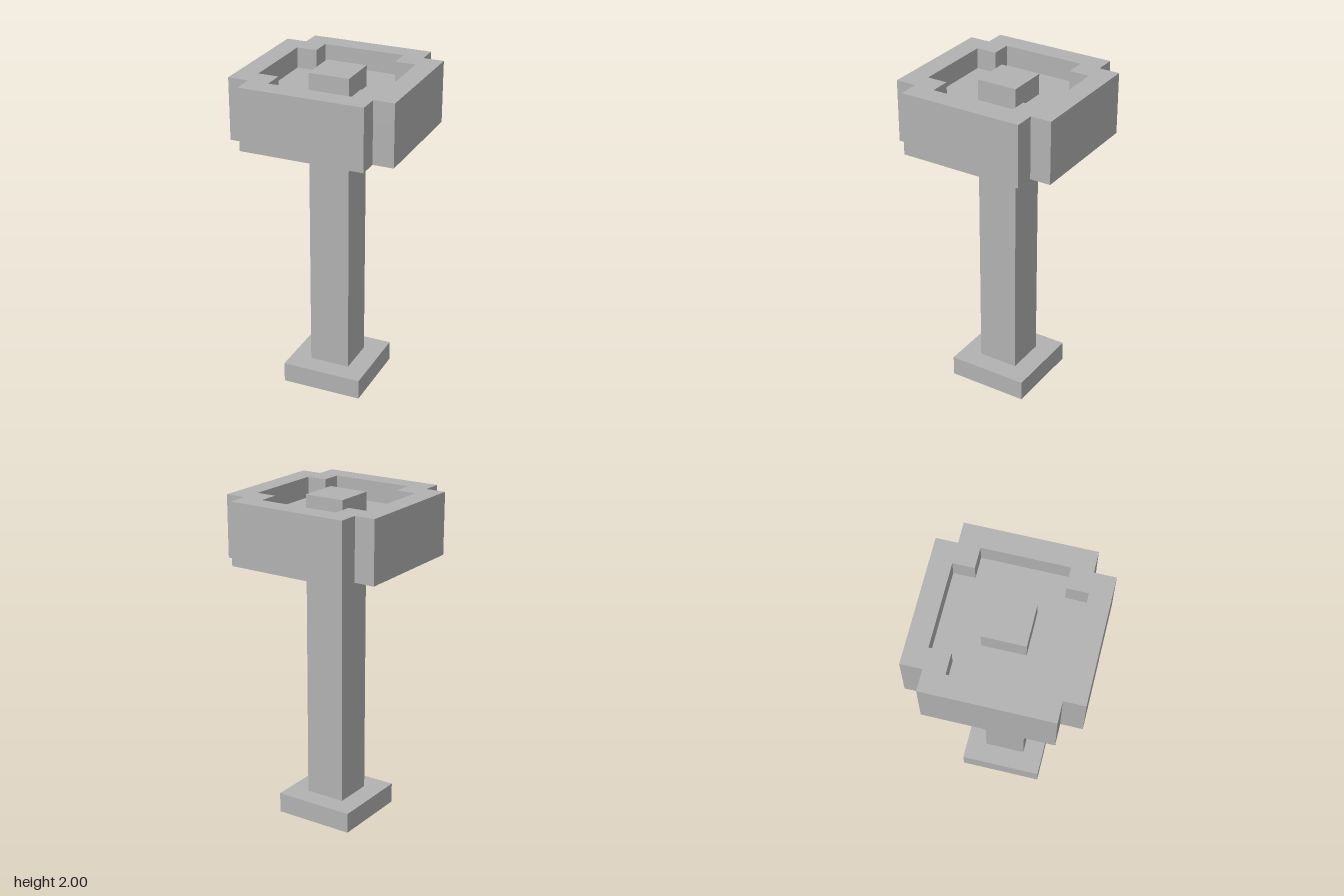
import * as THREE from 'three';

// Square outline of half-size r with a notch n cut from each corner
function notchedOutline(target, r, n) {
  const i = r - n;
  const points = [
    [i, -r], [i, -i], [r, -i], [r, i], [i, i], [i, r],
    [-i, r], [-i, i], [-r, i], [-r, -i], [-i, -i], [-i, -r],
  ];
  target.setFromPoints(points.map(([x, y]) => new THREE.Vector2(x, y)));
  return target;
}

export function createModel() {
  const model = new THREE.Group();
  model.name = 'pedestalBasin';
  const stone = new THREE.MeshStandardMaterial({ color: 0xb2b2b2 });
  stone.name = 'stone grey';

  const add = (name, geometry, y) => {
    const mesh = new THREE.Mesh(geometry, stone);
    mesh.name = name;
    mesh.position.y = y;
    model.add(mesh);
  };
  // Upright slab of a given outline, standing on y = 0
  const slab = (shape, height) =>
    new THREE.ExtrudeGeometry(shape, { depth: height, bevelEnabled: false }).rotateX(-Math.PI / 2);

  // Foot and column
  add('foot', new THREE.BoxGeometry(0.5, 0.125, 0.5), 0.0625);
  add('column', new THREE.BoxGeometry(0.25, 1.5, 0.25), 0.875);

  // Basin: solid floor, raised rim with a notched opening, block in the middle
  const rim = notchedOutline(new THREE.Shape(), 0.5, 0.125);
  add('basinFloor', slab(rim, 0.25), 1.625);
  const rimWithHole = rim.clone();
  rimWithHole.holes.push(notchedOutline(new THREE.Path(), 0.375, 0.125));
  add('basinRim', slab(rimWithHole, 0.125), 1.875);
  add('centreBlock', new THREE.BoxGeometry(0.25, 0.125, 0.25), 1.9375);

  return model;
}
